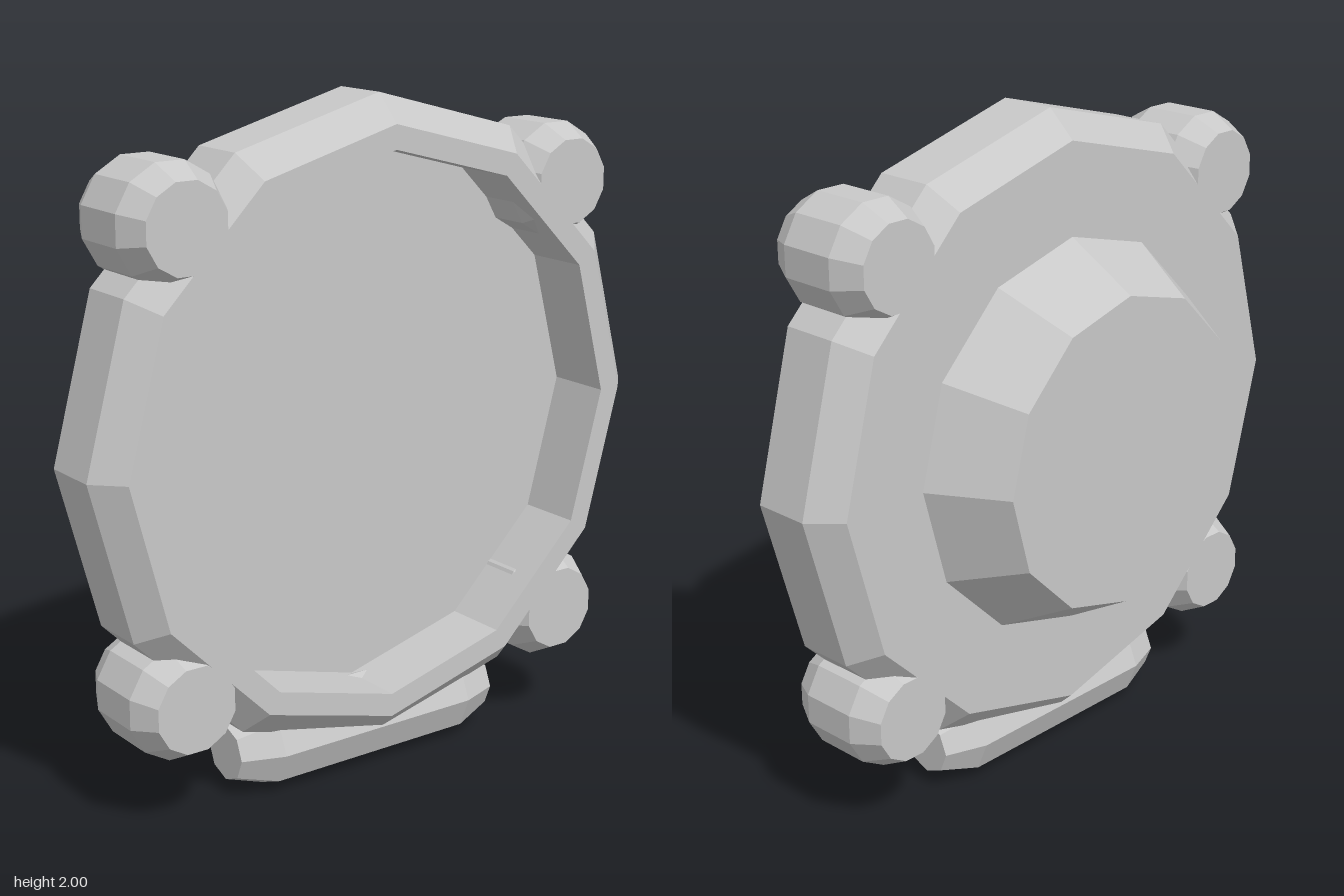
import * as THREE from 'three';

const metal = new THREE.MeshStandardMaterial({ color: 0xc8c8c8, flatShading: true });
metal.name = 'light grey';

// Faceted solid of revolution; profile is [radius, height] from bottom to top
function turned(profile, sides, phi = 0) {
  const points = profile.map(([r, h]) => new THREE.Vector2(r, h));
  return new THREE.LatheGeometry(points, sides, phi, Math.PI * 2);
}

function part(name, geometry, x, y, z) {
  const mesh = new THREE.Mesh(geometry, metal);
  mesh.name = name;
  mesh.position.set(x, y, z);
  return mesh;
}

export function createModel() {
  const group = new THREE.Group();
  group.name = 'roundCase';
  const centreY = 1.05;

  // Twelve-sided case with chamfered edges and a recessed front
  const body = turned([
    [0, -0.06], [0.87, -0.06], [0.95, 0.025], [0.95, 0.2], [0.87, 0.28],
    [0.8, 0.28], [0.8, 0.08], [0, 0.08],
  ], 12).rotateX(Math.PI / 2);
  group.add(part('caseBody', body, 0, centreY, 0));

  // Tapered boss on the back
  const boss = turned([[0, -0.28], [0.47, -0.28], [0.595, -0.06]], 12).rotateX(Math.PI / 2);
  group.add(part('backBoss', boss, 0, centreY, 0));

  // Four chamfered corner knobs
  const knob = turned([
    [0, -0.06], [0.128, -0.06], [0.172, 0.025], [0.172, 0.2], [0.128, 0.28], [0, 0.28],
  ], 12, Math.PI / 12).rotateX(Math.PI / 2);
  for (const sx of [-1, 1]) {
    for (const sy of [-1, 1]) {
      const name = (sy > 0 ? 'upper' : 'lower') + (sx > 0 ? 'Left' : 'Right') + 'Knob';
      group.add(part(name, knob, sx * 0.665 - 0.01, 1.038 + sy * 0.665, 0));
    }
  }

  // Octagonal foot bar with tapered ends
  const foot = turned([
    [0, -0.465], [0.085, -0.465], [0.13, -0.34], [0.13, 0.34], [0.085, 0.465], [0, 0.465],
  ], 8).rotateZ(-Math.PI / 2);
  group.add(part('footBar', foot, -0.01, 0.13, 0.108));

  return group;
}
